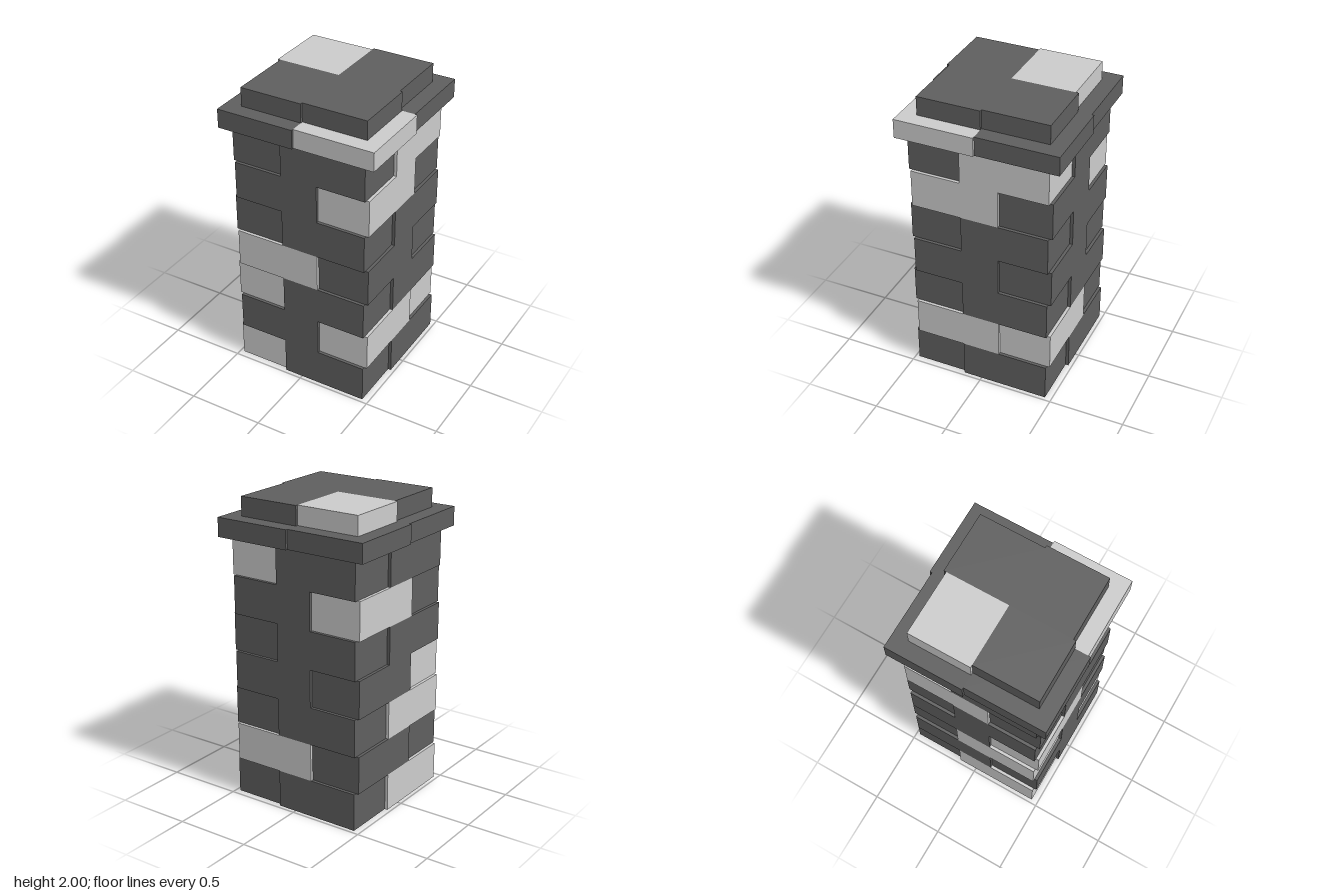
import * as THREE from 'three';

const light = new THREE.MeshStandardMaterial({ color: 0xcccccc });
const dark = new THREE.MeshStandardMaterial({ color: 0x5f5f5f });

// Box given by its extents
function block(name, [x0, x1], [y0, y1], [z0, z1], material) {
  const geometry = new THREE.BoxGeometry(x1 - x0, y1 - y0, z1 - z0);
  geometry.translate((x0 + x1) / 2, (y0 + y1) / 2, (z0 + z1) / 2);
  const mesh = new THREE.Mesh(geometry, material);
  mesh.name = name;
  return mesh;
}

// Four equal blocks turned in quarter steps; 'L' is a light block, 'D' a dark one
function pinwheel(layerName, blockName, x, y, z, tones) {
  const layer = new THREE.Group();
  layer.name = layerName;
  [...tones].forEach((tone, i) => {
    const mesh = block(blockName, x, y, z, tone === 'L' ? light : dark);
    mesh.rotation.y = i * Math.PI / 2;
    layer.add(mesh);
  });
  return layer;
}

export function createModel() {
  const pillar = new THREE.Group();
  pillar.name = 'brickPillar';

  // Brick courses, bond direction alternating; tones run front, +x, back, -x
  const courses = ['DDDL', 'DLLD', 'DDDL', 'LDDD', 'DDDD', 'DLDL', 'DLDD'];
  const height = 0.25;
  courses.forEach((tones, i) => {
    const x = i % 2 ? [-0.455, 0.125] : [-0.125, 0.455];
    pillar.add(pinwheel(`course${i + 1}`, 'brick', x,
      [i * height, (i + 1) * height], [0.125, 0.475], tones));
  });

  // Infill between the bricks
  pillar.add(block('core', [-0.125, 0.125], [0, 1.75], [-0.125, 0.125], dark));

  // Two-step cap of quarter slabs; tones run front +x, back +x, back -x, front -x
  pillar.add(pinwheel('lowerCap', 'capSlab', [0, 0.535], [1.75, 1.875], [0, 0.52], 'LDDD'));
  pillar.add(pinwheel('upperCap', 'capSlab', [0, 0.433], [1.875, 2], [0, 0.416], 'DDLD'));

  return pillar;
}
